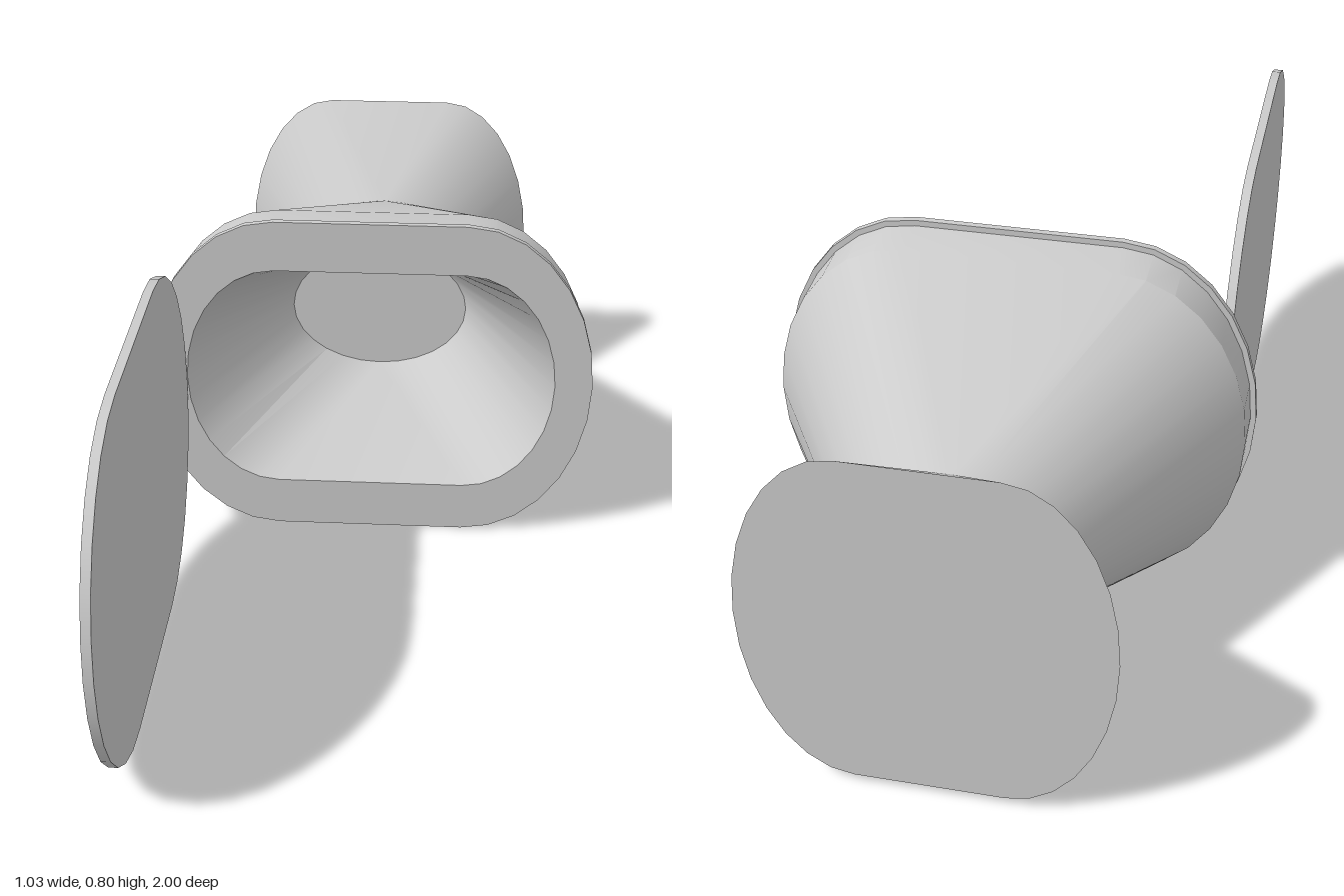
import * as THREE from 'three';
import { toCreasedNormals } from 'three/addons/utils/BufferGeometryUtils.js';

const STEPS = 14; // segments per rounded end

// Rounded outline: a flat stretch of +-flat on top and bottom, elliptical ends
function outline([z, halfW, halfH, flat]) {
  const points = [];
  for (const side of [1, -1]) {
    for (let i = 0; i <= STEPS; i++) {
      const a = -Math.PI / 2 + (Math.PI * i) / STEPS;
      points.push(new THREE.Vector3(
        side * (flat + (halfW - flat) * Math.cos(a)), side * halfH * Math.sin(a), z));
    }
  }
  return points;
}

// Skin a list of [z, halfWidth, halfHeight, flat] sections
function loft(sections) {
  const rings = sections.map(outline);
  const positions = [];
  const tri = new THREE.Triangle();
  const add = (a, b, c) => {
    if (tri.set(a, b, c).getArea() > 1e-8) {
      for (const p of [a, b, c]) positions.push(p.x, p.y, p.z);
    }
  };
  for (let i = 0; i < rings.length - 1; i++) {
    const near = rings[i], far = rings[i + 1], n = near.length;
    for (let j = 0; j < n; j++) {
      const k = (j + 1) % n;
      add(near[j], far[j], near[k]);
      add(near[k], far[j], far[k]);
    }
  }
  const geometry = new THREE.BufferGeometry();
  geometry.setAttribute('position', new THREE.Float32BufferAttribute(positions, 3));
  return toCreasedNormals(geometry, 0.45);
}

export function createModel() {
  const group = new THREE.Group();
  const material = new THREE.MeshStandardMaterial({ color: 0xcccccc });
  const add = (name, geometry) => {
    const mesh = new THREE.Mesh(geometry, material);
    mesh.name = name;
    mesh.position.y = 0.4;
    group.add(mesh);
    return mesh;
  };

  // Hollow bowl: recess floor, inner wall, front flange, collar, tapering outside
  add('bowl', loft([
    [-0.56, 0, 0, 0],
    [-0.56, 0.216, 0.157, 0],
    [-0.17, 0.43, 0.278, 0.22],
    [-0.17, 0.517, 0.398, 0.22],
    [-0.185, 0.517, 0.398, 0.22],
    [-0.185, 0.505, 0.385, 0.22],
    [-0.28, 0.505, 0.38, 0.22],
    [-0.765, 0.215, 0.2, 0],
  ]));

  // Flared base behind the neck, closed by a flat plate
  add('base', loft([
    [-0.765, 0.215, 0.2, 0],
    [-1, 0.365, 0.38, 0.15],
    [-1, 0, 0, 0],
  ]));

  // Open door, hinged at the side of the flange
  const door = add('door', loft([
    [0.01, 0, 0, 0],
    [0.01, 0.583, 0.398, 0.22],
    [-0.01, 0.583, 0.398, 0.22],
    [-0.01, 0, 0, 0],
  ]));
  door.rotation.y = Math.PI / 2;
  door.position.set(-0.44, 0.4, 0.417);

  return group;
}
